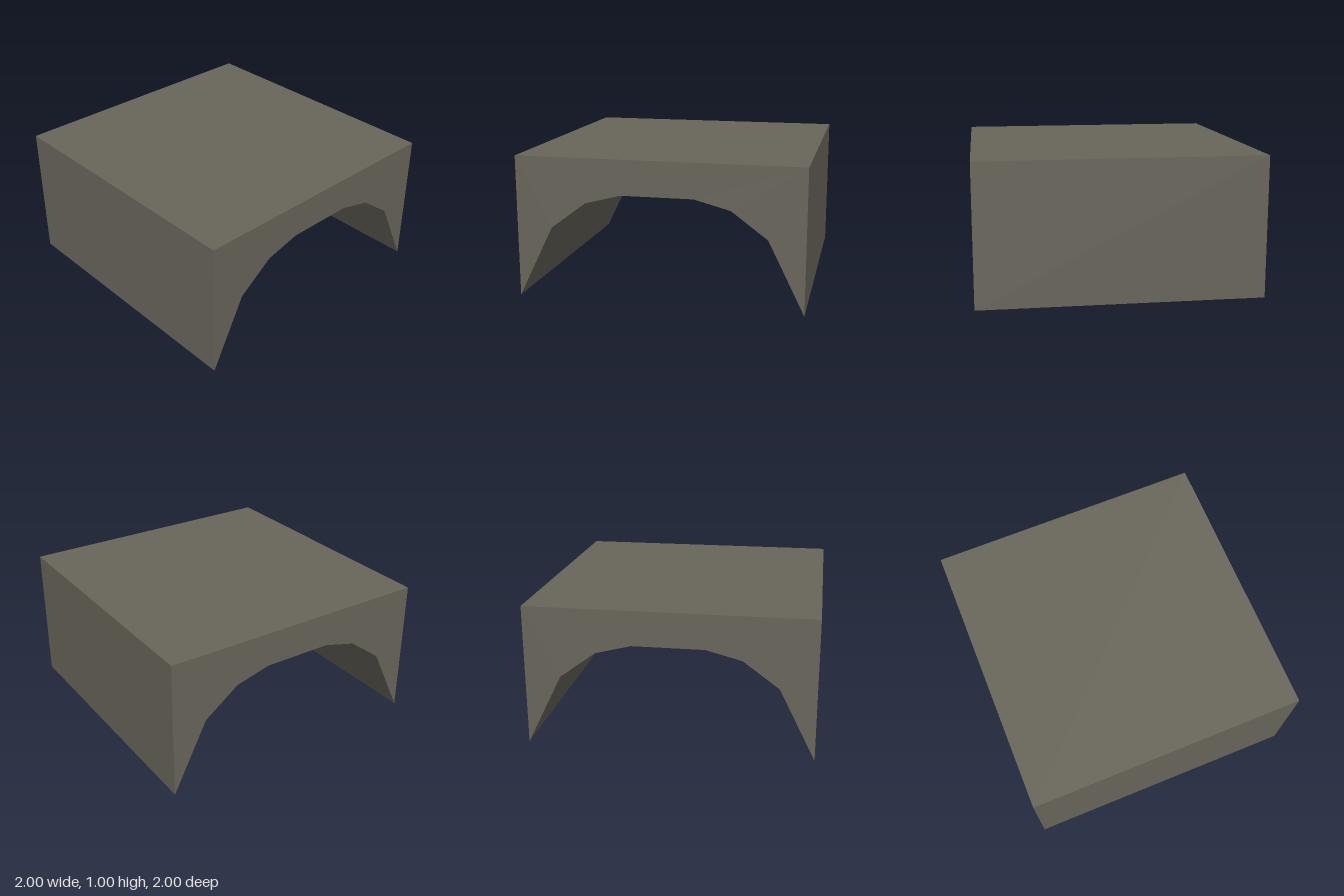
import * as THREE from 'three';

export function createModel() {
  const group = new THREE.Group();
  group.name = 'archedBlock';

  const stone = new THREE.MeshStandardMaterial({ color: 0x68655a, flatShading: true });
  stone.name = 'stone';

  // Right half of the faceted arch underside, from foot to crown
  const half = [[1, 0], [0.75, 0.505], [0.5, 0.69], [0.25, 0.755]];
  const mirrored = half.map(([x, y]) => [-x, y]).reverse();

  // Cross-section: square outer block with the arch cut from below
  const outline = [[1, 1], [-1, 1], ...mirrored.reverse(), ...half.reverse()];
  const shape = new THREE.Shape(outline.map(([x, y]) => new THREE.Vector2(x, y)));

  // Extrude front to back and centre on z
  const geometry = new THREE.ExtrudeGeometry(shape, { depth: 2, bevelEnabled: false });
  geometry.translate(0, 0, -1);

  const arch = new THREE.Mesh(geometry, stone);
  arch.name = 'arch';
  group.add(arch);
  return group;
}
